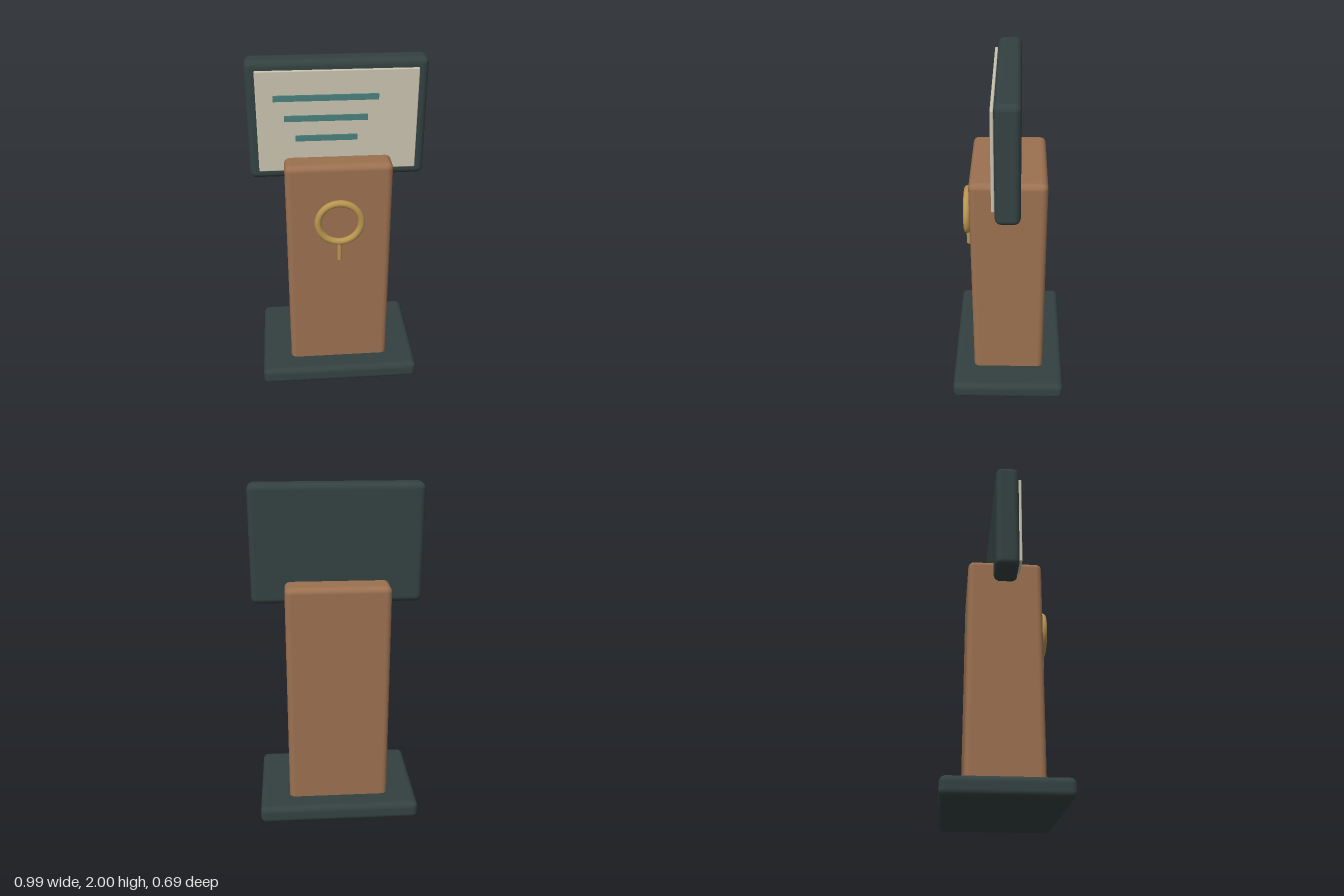
import * as THREE from 'three';
import { RoundedBoxGeometry } from 'three/addons/geometries/RoundedBoxGeometry.js';

const material = (name, color) => {
  const m = new THREE.MeshStandardMaterial({ color });
  m.name = name;
  return m;
};

export function createModel() {
  const slate = material('dark slate', 0x344141);
  const wood = material('warm wood', 0x9b7050);
  const cream = material('cream panel', 0xc8c2ae);
  const teal = material('teal', 0x4a7f7d);
  const brass = material('brass', 0xb8944f);

  const model = new THREE.Group();
  model.name = 'signStand';

  const add = (name, geometry, mat, x, y, z) => {
    const mesh = new THREE.Mesh(geometry, mat);
    mesh.name = name;
    mesh.position.set(x, y, z);
    model.add(mesh);
    return mesh;
  };
  const rounded = (w, h, d, r) => new RoundedBoxGeometry(w, h, d, 4, r);

  // Base and pillar
  add('base', rounded(0.964, 0.108, 0.688, 0.035), slate, 0, 0.054, 0);
  add('pillar', rounded(0.606, 1.38, 0.436, 0.035), wood, 0, 0.76, 0);

  // Sign board with its raised panel
  add('signBoard', rounded(0.994, 0.686, 0.137, 0.035), slate, 0, 1.657, 0);
  add('signPanel', rounded(0.886, 0.582, 0.018, 0.006), cream, 0, 1.66, 0.079);

  // Staggered bars on the panel
  [[-0.35, 0.225, 1.801], [-0.292, 0.166, 1.685], [-0.234, 0.11, 1.569]].forEach(([x0, x1, y], i) => {
    add(`panelBar${i + 1}`, new THREE.BoxGeometry(x1 - x0, 0.033, 0.009), teal, (x0 + x1) / 2, y, 0.0935);
  });

  // Ring ornament with a short stem
  add('ring', new THREE.TorusGeometry(0.124, 0.02, 16, 48), brass, 0, 1.108, 0.247);
  add('ringStem', new THREE.CylinderGeometry(0.013, 0.013, 0.12, 16), brass, 0, 0.923, 0.247);

  return model;
}
